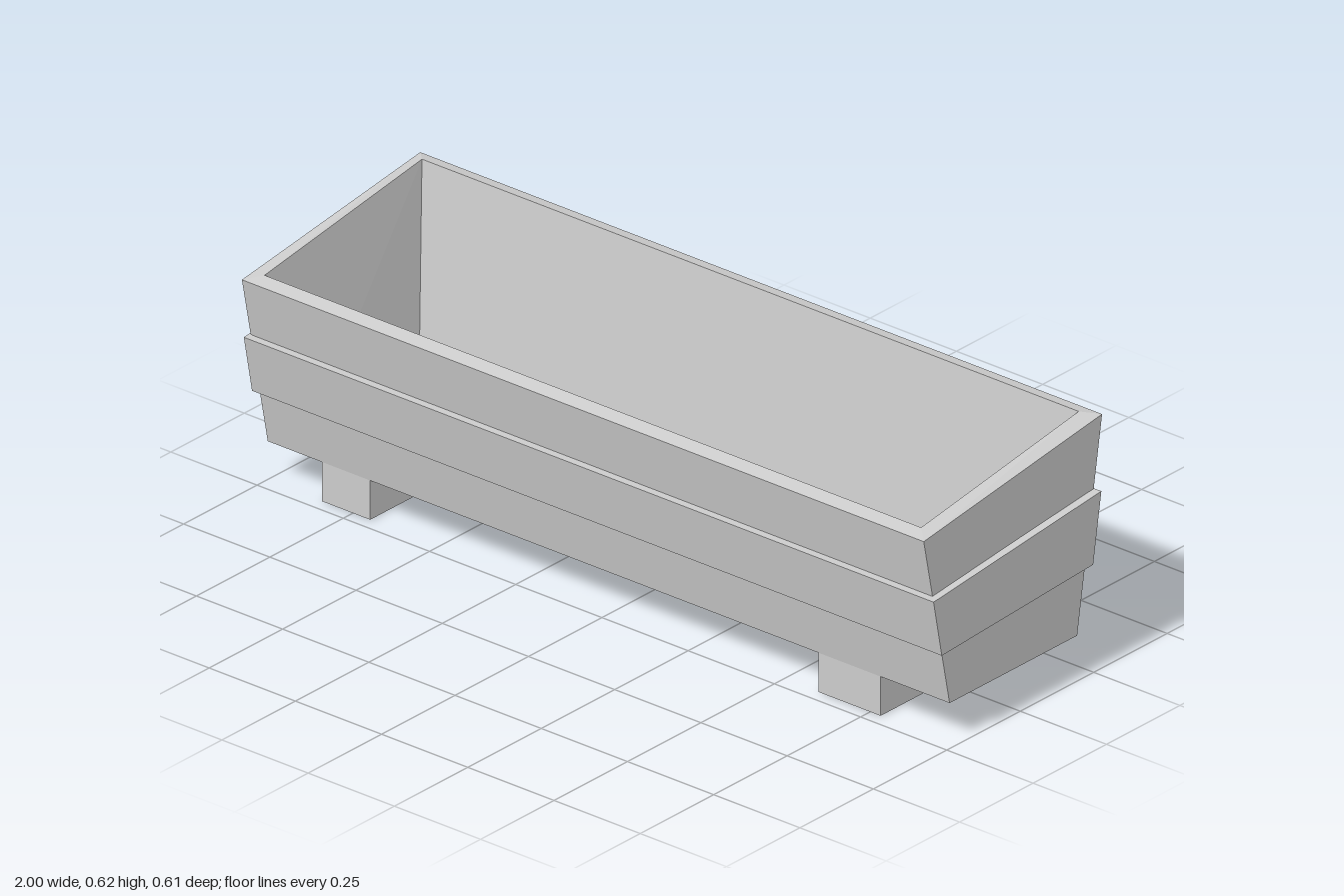
import * as THREE from 'three';

const material = new THREE.MeshStandardMaterial({ color: 0xcccccc, flatShading: true });

// Four-cornered section: front left, front right, back right, back left
const ring = (x0, x1, zFront, yFront, zBack, yBack) => [
  [x0, yFront, zFront], [x1, yFront, zFront], [x1, yBack, zBack], [x0, yBack, zBack],
];

// Joins successive sections with flat walls, then caps the ends or closes the loop
function loft(name, rings, closed = false) {
  const pos = [];
  const quad = (a, b, c, d) => pos.push(...a, ...b, ...c, ...a, ...c, ...d);
  const steps = closed ? rings.length : rings.length - 1;
  for (let r = 0; r < steps; r++) {
    const lo = rings[r], hi = rings[(r + 1) % rings.length];
    for (let i = 0; i < 4; i++) {
      const j = (i + 1) % 4;
      quad(lo[i], lo[j], hi[j], hi[i]);
    }
  }
  if (!closed) {
    quad(...[...rings[0]].reverse());
    quad(...rings[rings.length - 1]);
  }
  const geometry = new THREE.BufferGeometry();
  geometry.setAttribute('position', new THREE.Float32BufferAttribute(pos, 3));
  geometry.computeVertexNormals();
  const mesh = new THREE.Mesh(geometry, material);
  mesh.name = name;
  return mesh;
}

export function createModel() {
  const group = new THREE.Group();
  group.name = 'planterTrough';

  // Hollow tub: base, flared outside, sloping rim, inner walls and floor
  group.add(loft('tub', [
    ring(-0.997, 0.98, 0.217, 0.097, -0.217, 0.097),
    ring(-0.997, 0.98, 0.305, 0.53, -0.302, 0.612),
    ring(-0.963, 0.941, 0.268, 0.538, -0.268, 0.619),
    ring(-0.92, 0.903, 0.153, 0.13, -0.208, 0.13),
  ]));

  // Raised middle board wrapped around the tub
  group.add(loft('middleBand', [
    ring(-1, 1, 0.267, 0.24, -0.248, 0.267),
    ring(-1, 1, 0.295, 0.383, -0.276, 0.438),
    ring(-0.985, 0.965, 0.265, 0.383, -0.26, 0.438),
    ring(-0.985, 0.965, 0.237, 0.24, -0.232, 0.267),
  ], true));

  // Two bearer feet across the underside
  for (const [name, x0, x1] of [['rightFoot', -0.84, -0.7], ['leftFoot', 0.6, 0.78]]) {
    const foot = new THREE.Mesh(new THREE.BoxGeometry(x1 - x0, 0.098, 0.434), material);
    foot.name = name;
    foot.position.set((x0 + x1) / 2, 0.049, 0);
    group.add(foot);
  }
  return group;
}
